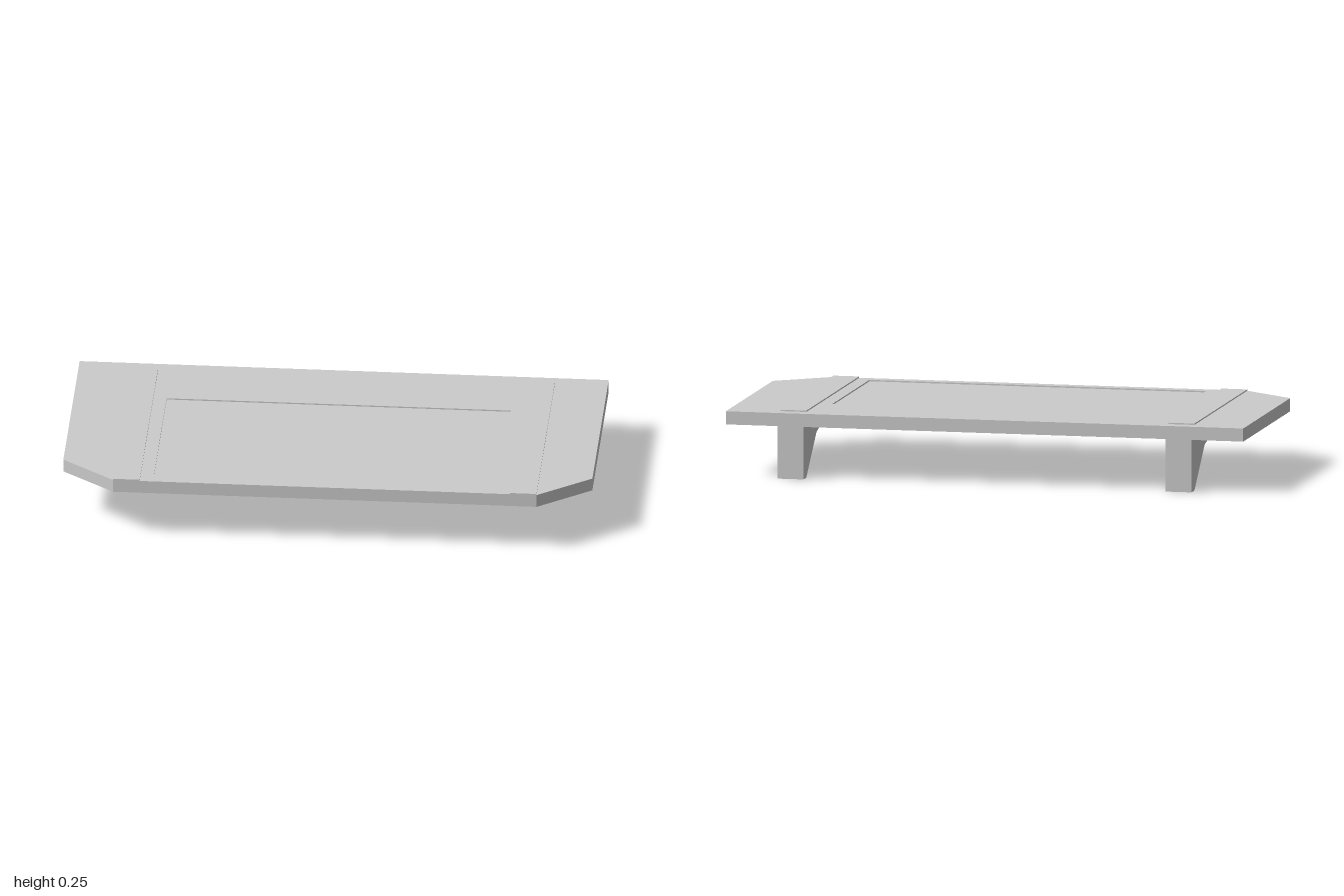
import * as THREE from 'three';

const material = new THREE.MeshStandardMaterial({ color: 0xcccccc, flatShading: true });

function polygon(points, Type = THREE.Shape) {
  return new Type(points.map(([x, y]) => new THREE.Vector2(x, y)));
}

function addMesh(group, geometry, name) {
  const mesh = new THREE.Mesh(geometry, material);
  mesh.name = name;
  group.add(mesh);
  return mesh;
}

export function createModel() {
  const model = new THREE.Group();
  model.name = 'bracketShelf';

  // Shelf board with clipped front corners; outline is (x, -z)
  const outline = polygon([
    [-1, 0.475], [-1, -0.325], [-0.8, -0.475], [0.8, -0.475], [1, -0.325], [1, 0.475],
  ]);
  // Opening for the shallow tray
  outline.holes.push(polygon([[-0.65, 0.2], [0.65, 0.2], [0.65, -0.43], [-0.65, -0.43]], THREE.Path));
  const board = new THREE.ExtrudeGeometry(outline, { depth: 0.05, bevelEnabled: false });
  board.rotateX(-Math.PI / 2);
  addMesh(model, board, 'shelfBoard').position.y = 0.2;

  // Tray floor, set just below the board's top
  addMesh(model, new THREE.BoxGeometry(1.3, 0.045, 0.63), 'trayFloor').position.set(0, 0.2225, 0.115);

  // Bracket profile is (z, y)
  const profile = polygon([
    [-0.475, 0], [-0.425, 0], [-0.25, 0.15], [-0.125, 0.175], [-0.125, 0.2], [-0.475, 0.2],
  ]);
  const bracket = new THREE.ExtrudeGeometry(profile, { depth: 0.1, bevelEnabled: false });
  bracket.rotateY(-Math.PI / 2).translate(0.05, 0, 0);
  const strip = new THREE.BoxGeometry(0.1, 0.045, 0.9);

  // A bracket below and a slim raised strip above, on each side
  for (const [side, name] of [[1, 'left'], [-1, 'right']]) {
    addMesh(model, bracket, name + 'Bracket').position.x = side * 0.75;
    addMesh(model, strip, name + 'TopStrip').position.set(side * 0.75, 0.2325, 0.025);
  }

  return model;
}
